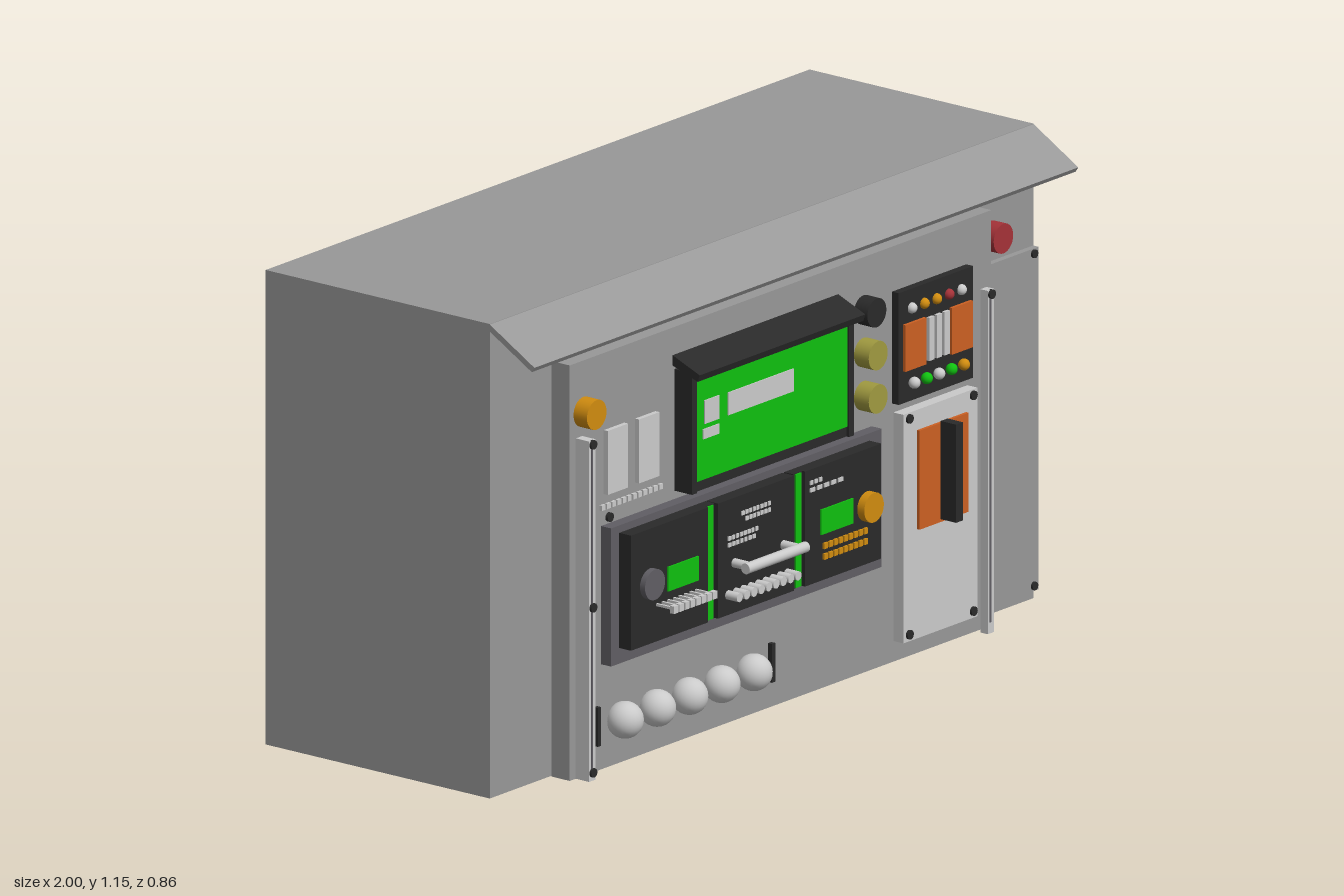
import * as THREE from 'three';

const mat = (name, color) => {
  const m = new THREE.MeshStandardMaterial({ color });
  m.name = name;
  return m;
};

export function createModel() {
  const root = new THREE.Group();
  root.name = 'controlCabinet';
  const grey = mat('cabinet grey', 0x989898), light = mat('light grey', 0xcacaca);
  const black = mat('black', 0x2a2a2a), slate = mat('slate', 0x605e64);
  const green = mat('green', 0x10c010), orange = mat('orange', 0xcc6022);
  const amber = mat('amber', 0xd08c10), olive = mat('olive yellow', 0xa09a40);
  const red = mat('red', 0xa43238);

  const add = (name, geo, m, x, y, z) => {
    const mesh = new THREE.Mesh(geo, m);
    mesh.name = name;
    mesh.position.set(x, y, z);
    root.add(mesh);
    return mesh;
  };
  // Box given by its limits
  const box = (name, m, x0, x1, y0, y1, z0, z1) =>
    add(name, new THREE.BoxGeometry(x1 - x0, y1 - y0, z1 - z0), m, (x0 + x1) / 2, (y0 + y1) / 2, (z0 + z1) / 2);
  // Round button facing forward
  const button = (name, m, x, y, r, z0, z1) =>
    add(name, new THREE.CylinderGeometry(r, r, z1 - z0, 28).rotateX(Math.PI / 2), m, x, y, (z0 + z1) / 2);
  const ball = (name, m, x, y, z, r) => add(name, new THREE.SphereGeometry(r, 24, 16), m, x, y, z);
  // Side profile [z, y] extruded across x
  const across = (name, m, pts, x0, x1) => {
    const s = new THREE.Shape(pts.map(([z, y]) => new THREE.Vector2(-z, y)));
    const g = new THREE.ExtrudeGeometry(s, { depth: x1 - x0, bevelEnabled: false }).rotateY(Math.PI / 2);
    return add(name, g, m, x0, 0, 0);
  };
  // Row of small raised marks
  const marks = (name, m, x0, x1, y, n, h, z0, z1) => {
    const step = (x1 - x0) / n;
    for (let i = 0; i < n; i++)
      box(name, m, x0 + i * step, x0 + (i + 0.7) * step, y - h / 2, y + h / 2, z0, z1);
  };

  // Cabinet, rain hood and door
  box('cabinet', grey, -1, 1, 0.005, 1.155, -0.455, 0.212);
  across('rainHood', grey, [[0.21, 1.155], [0.21, 1.138], [0.337, 1.063], [0.345, 1.075]], -1, 1);
  box('door', grey, -0.79, 0.76, 0.01, 1.017, 0.225, 0.28);
  box('sidePlate', grey, 0.785, 0.998, 0.03, 0.86, 0.21, 0.228);
  for (const x of [0.8, 0.98]) for (const y of [0.043, 0.848]) button('plateScrew', black, x, y, 0.01, 0.226, 0.234);

  // Vertical rails on both door edges
  box('leftRail', light, -0.768, -0.744, 0.01, 0.835, 0.28, 0.32);
  box('rightRail', light, 0.72, 0.743, 0.003, 0.835, 0.28, 0.302);
  box('leftRailGroove', slate, -0.762, -0.757, 0.03, 0.82, 0.32, 0.322);
  box('rightRailGroove', slate, 0.726, 0.731, 0.03, 0.82, 0.302, 0.304);
  for (const y of [0.03, 0.43, 0.825]) button('leftRailScrew', black, -0.756, y, 0.011, 0.318, 0.326);
  button('rightRailScrew', black, 0.732, 0.825, 0.011, 0.3, 0.308);

  // Lamps and push buttons
  button('amberLamp', amber, -0.74, 0.893, 0.036, 0.28, 0.32);
  button('redButton', red, 0.842, 0.922, 0.036, 0.21, 0.25);
  button('blackButton', black, 0.29, 0.89, 0.035, 0.28, 0.32);
  for (const y of [0.787, 0.682]) button('yellowButton', olive, 0.29, y, 0.035, 0.28, 0.324);

  // Display with visor
  box('displayFrame', black, -0.405, 0.19, 0.62, 0.915, 0.28, 0.325);
  for (const x of [-0.405, 0.172]) box('displaySide', black, x, x + 0.018, 0.62, 0.915, 0.325, 0.333);
  box('displayScreen', green, -0.386, 0.171, 0.645, 0.898, 0.325, 0.329);
  across('displayVisor', black, [[0.28, 0.95], [0.28, 0.925], [0.355, 0.9], [0.361, 0.917]], -0.412, 0.197);
  for (const [a, b, c, d] of [[-0.357, -0.303, 0.78, 0.837], [-0.362, -0.303, 0.744, 0.768], [-0.27, -0.03, 0.78, 0.835]])
    box('screenField', light, a, b, c, d, 0.329, 0.332);

  // Two pale switches with a row of dots
  for (const x of [-0.665, -0.55]) box('paleSwitch', light, x, x + 0.075, 0.675, 0.83, 0.28, 0.292);
  marks('indicatorDot', light, -0.68, -0.45, 0.645, 12, 0.013, 0.28, 0.287);
  button('panelScrew', black, -0.648, 0.616, 0.011, 0.28, 0.288);

  // Control rack with three modules
  box('rackFrame', slate, -0.675, 0.32, 0.265, 0.6, 0.28, 0.31);
  for (const [a, b] of [[-0.645, -0.362], [-0.325, -0.045], [-0.005, 0.275]])
    box('rackModule', black, a, b, 0.303, 0.582, 0.31, 0.345);
  for (const x of [-0.345, -0.022]) {
    box('moduleDivider', black, x - 0.017, x + 0.017, 0.303, 0.582, 0.31, 0.336);
    box('greenStrip', green, x - 0.01, x + 0.01, 0.305, 0.58, 0.336, 0.34);
  }
  button('greyKnob', slate, -0.575, 0.449, 0.037, 0.345, 0.36);
  button('amberKnob', amber, 0.223, 0.443, 0.036, 0.345, 0.366);
  box('leftReadout', green, -0.512, -0.4, 0.415, 0.474, 0.345, 0.349);
  box('rightReadout', green, 0.05, 0.168, 0.415, 0.476, 0.345, 0.349);

  // Small toggles and legend marks
  for (let i = 0; i < 8; i++) {
    const x = -0.55 + i * 0.0205;
    box('toggleStem', light, x - 0.003, x + 0.003, 0.389, 0.395, 0.345, 0.39);
    box('toggleTip', light, x - 0.008, x + 0.008, 0.382, 0.4, 0.39, 0.403);
  }
  for (let i = 0; i < 9; i++) button('toggle', light, -0.288 + i * 0.027, 0.352, 0.011, 0.345, 0.38);
  for (const [x0, x1, y, n] of [[-0.24, -0.13, 0.538, 8], [-0.225, -0.13, 0.522, 7], [-0.29, -0.175, 0.488, 8],
    [-0.29, -0.185, 0.472, 7], [0.012, 0.06, 0.55, 3], [0.012, 0.14, 0.532, 5]])
    marks('legendMark', light, x0, x1, y, n, 0.01, 0.345, 0.348);
  for (const y of [0.386, 0.36]) marks('amberMark', amber, 0.06, 0.225, y, 9, 0.014, 0.345, 0.351);

  // Pull bar on the middle module
  add('pullBar', new THREE.CylinderGeometry(0.013, 0.013, 0.222, 16).rotateZ(Math.PI / 2), light, -0.175, 0.424, 0.395);
  for (const x of [-0.265, -0.085]) button('pullBarPost', light, x, 0.424, 0.011, 0.345, 0.395);

  // Row of dome lamps between two dark bars
  for (let i = 0; i < 5; i++) ball('domeLamp', light, -0.614 + i * 0.1185, 0.12, 0.302, 0.044);
  for (const x of [-0.695, -0.055]) box('darkBar', black, x - 0.006, x + 0.006, 0.073, 0.167, 0.28, 0.292);

  // Breaker box
  box('breakerBox', black, 0.395, 0.668, 0.637, 0.908, 0.28, 0.3);
  for (const [a, b] of [[0.41, 0.488], [0.582, 0.658]]) box('breakerBlock', orange, a, b, 0.715, 0.828, 0.3, 0.308);
  for (const x of [0.498, 0.526, 0.554]) box('breakerSlide', light, x, x + 0.019, 0.72, 0.825, 0.3, 0.308);
  [light, amber, amber, red, light].forEach((m, i) => ball('upperIndicator', m, 0.441 + i * 0.0455, 0.862, 0.302, 0.013));
  [light, green, light, green, amber].forEach((m, i) => ball('lowerIndicator', m, 0.441 + i * 0.0455, 0.682, 0.31, 0.014));

  // Main switch plate with lever
  box('switchPlate', light, 0.4, 0.672, 0.06, 0.614, 0.28, 0.31);
  box('switchFace', orange, 0.45, 0.63, 0.325, 0.565, 0.31, 0.318);
  box('switchLever', black, 0.527, 0.552, 0.332, 0.57, 0.318, 0.364);
  for (const x of [0.42, 0.655]) for (const y of [0.077, 0.6]) button('switchPlateScrew', black, x, y, 0.011, 0.309, 0.316);

  return root;
}
